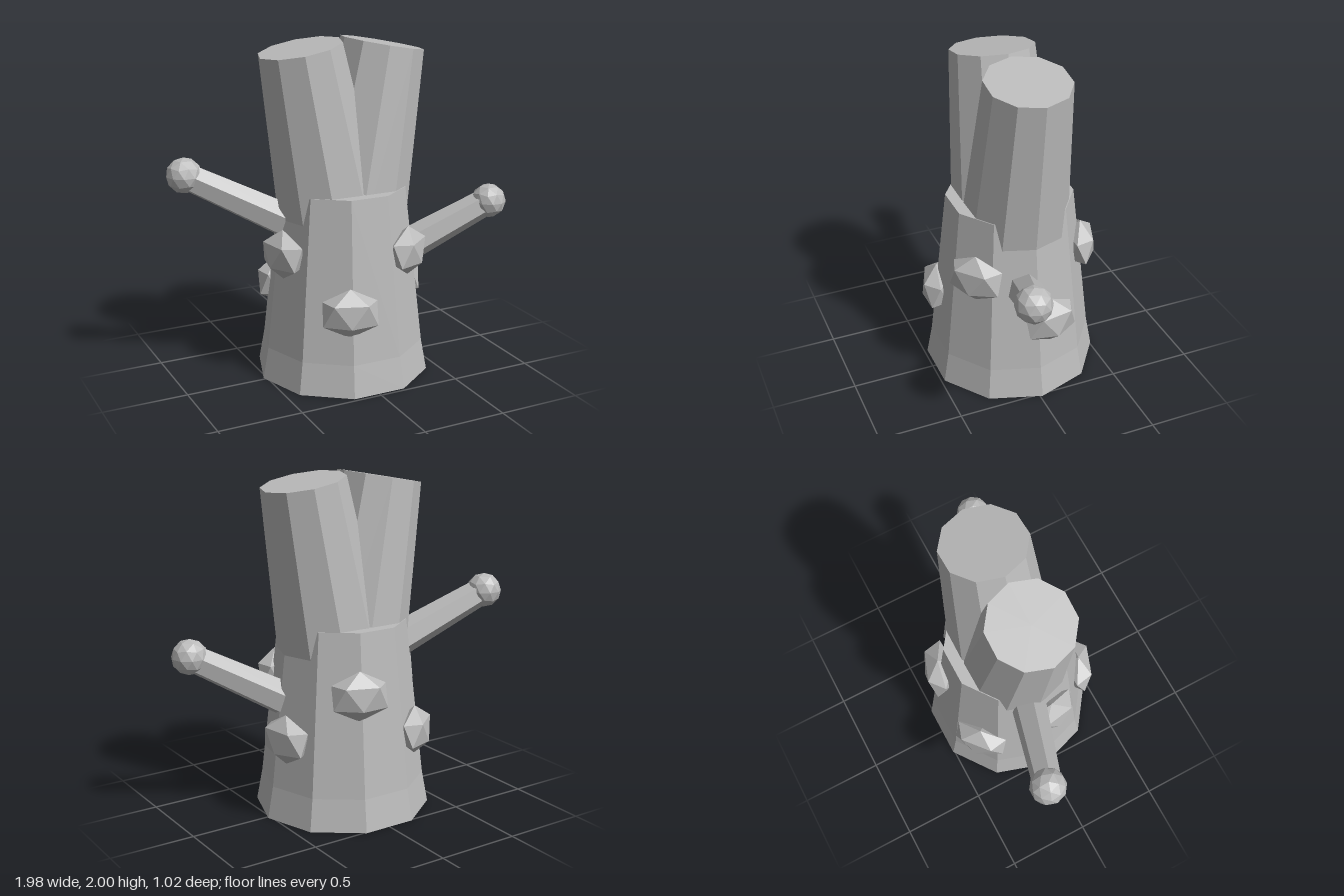
import * as THREE from 'three';

const bark = new THREE.MeshStandardMaterial({ color: 0xbbbbbb, flatShading: true });
bark.name = 'greyBark';
const CZ = -0.015; // trunk axis in z

function part(name, geometry) {
  const mesh = new THREE.Mesh(geometry, bark);
  mesh.name = name;
  return mesh;
}

// Icosahedral ball with a vertex at the top and bottom
function poleBall(detail) {
  return new THREE.IcosahedronGeometry(1, detail)
    .rotateX(-Math.atan((1 + Math.sqrt(5)) / 2))
    .rotateY(Math.PI);
}

export function createModel() {
  const tree = new THREE.Group();
  tree.name = 'forkedTrunk';

  // Ten-sided trunk with a flared foot
  const profile = [[0, 0], [0.52, 0], [0.485, 0.19], [0.376, 1.14], [0, 1.14]]
    .map(([r, y]) => new THREE.Vector2(r, y));
  const trunk = part('trunk', new THREE.LatheGeometry(profile, 10).rotateY(Math.PI / 2));
  trunk.position.z = CZ;
  tree.add(trunk);

  // Two stems leaning outwards from the fork
  const lean = 0.184;
  const length = 1.23;
  for (const side of [1, -1]) {
    const stem = part(side > 0 ? 'leftStem' : 'rightStem',
      new THREE.CylinderGeometry(0.246, 0.333, length, 10)
        .rotateY(Math.PI / 2)
        .translate(0, -length / 2, 0));
    stem.rotation.z = -side * lean;
    stem.position.set(side * 0.26, 1.955, CZ);
    tree.add(stem);
  }

  // Six-sided branches, each ending in a ball
  const branches = [
    ['leftBranch', [0.25, 0.63, 0], [0.88, 0.985, 0.215]],
    ['rightBranch', [-0.25, 0.9, -0.03], [-0.89, 1.24, -0.24]],
  ];
  for (const [name, a, b] of branches) {
    const start = new THREE.Vector3(...a);
    const end = new THREE.Vector3(...b);
    const dir = end.clone().sub(start);
    const branch = new THREE.Group();
    branch.name = name;
    const limb = part(name + 'Limb', new THREE.CylinderGeometry(0.082, 0.11, dir.length(), 6));
    limb.position.copy(start).lerp(end, 0.5);
    limb.quaternion.setFromUnitVectors(new THREE.Vector3(0, 1, 0), dir.normalize());
    const tip = part(name + 'Tip', poleBall(1).scale(0.105, 0.105, 0.105));
    tip.position.copy(end);
    branch.add(limb, tip);
    tree.add(branch);
  }

  // Two staggered rings of three flattened knots
  for (const [level, y, radius, first] of [['lower', 0.495, 0.445, 110], ['upper', 0.785, 0.42, 50]]) {
    for (let i = 0; i < 3; i++) {
      const angle = THREE.MathUtils.degToRad(first + i * 120);
      const knot = part(level + 'Knot' + (i + 1), poleBall(0).scale(0.185, 0.147, 0.1));
      knot.position.set(radius * Math.cos(angle), y, CZ + radius * Math.sin(angle));
      knot.rotation.y = Math.PI / 2 - angle;
      tree.add(knot);
    }
  }
  return tree;
}
